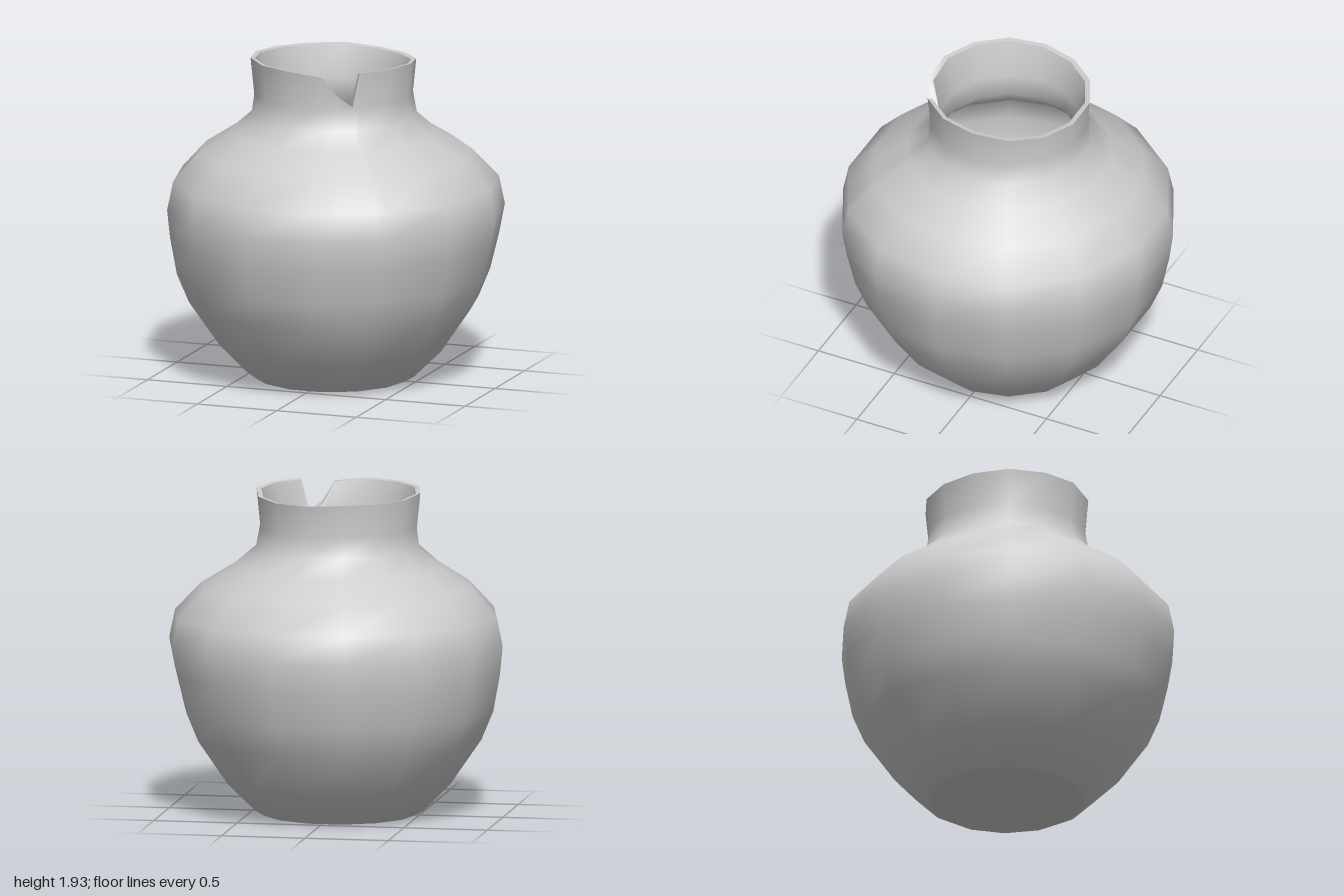
import * as THREE from 'three';
import { toCreasedNormals } from 'three/addons/utils/BufferGeometryUtils.js';

const SIDES = 14;

// Outer wall from foot to neck: radius, height, sideways drift of the ring centre
const OUTER = [
  [0.46, 0, -0.02], [0.51, 0.03, -0.02], [0.675, 0.195, -0.015], [0.857, 0.46, -0.015],
  [0.928, 0.63, -0.015], [0.975, 0.85, -0.008], [1.0, 1.02, 0], [0.965, 1.19, 0],
  [0.81, 1.355, -0.005], [0.612, 1.48, -0.01], [0.49, 1.585, -0.012], [0.47, 1.71, -0.015],
];
// Inner wall from neck down to the middle of the bowl
const INNER = [
  [0.41, 1.71, -0.015], [0.41, 1.58, -0.012], [0.55, 1.43, -0.01], [0.75, 1.3, -0.005],
  [0.9, 1.16, 0], [0.93, 1.02, 0], [0.905, 0.85, -0.008], [0.86, 0.64, -0.015],
  [0.78, 0.47, -0.015], [0.6, 0.23, -0.015], [0.4, 0.09, -0.02], [0, 0.06, -0.02],
];

// Rim height at each corner (corner 0 is just right of front centre, then round the +x side)
const RIM = [1.907, 1.93, 1.93, 1.925, 1.905, 1.895, 1.895, 1.905, 1.905, 1.91, 1.92, 1.93, 1.93, 1.93];
// Extra columns that carve the chip out of the first panel
const CHIP = [[0.38, 1.79], [0.84, 1.722]];
const COLUMNS = [[0, RIM[0]], ...CHIP, ...RIM.slice(1).map((y, i) => [i + 1, y])];

// Point on a ring; fractional columns stay on the flat panel between two corners
function ringPoint(u, radius, y, drift) {
  const corner = (k) => {
    const a = ((k + 0.5) / SIDES) * Math.PI * 2;
    return new THREE.Vector3(Math.sin(a) * radius + drift, y, Math.cos(a) * radius);
  };
  const k = Math.floor(u);
  return corner(k).lerp(corner(k + 1), u - k);
}

// One vertical run of the wall: up the outside, across the lip, down the inside
function column([u, top]) {
  const t = (top - 1.71) / 0.22;
  const lip = [
    [THREE.MathUtils.lerp(0.47, 0.492, t), top, -0.015],
    [THREE.MathUtils.lerp(0.41, 0.465, t), top - 0.004, -0.015],
  ];
  return [...OUTER, ...lip, ...INNER].map(([r, y, drift]) => ringPoint(u, r, y, drift));
}

function buildWall() {
  const runs = COLUMNS.map(column);
  const positions = [];
  const triangle = (a, b, c) => {
    const area = b.clone().sub(a).cross(c.clone().sub(a)).length();
    if (area > 1e-7) [a, b, c].forEach((p) => positions.push(p.x, p.y, p.z));
  };
  runs.forEach((left, i) => {
    const right = runs[(i + 1) % runs.length];
    for (let j = 0; j < left.length - 1; j++) {
      triangle(left[j], right[j], right[j + 1]);
      triangle(left[j], right[j + 1], left[j + 1]);
    }
  });
  const geometry = new THREE.BufferGeometry();
  geometry.setAttribute('position', new THREE.Float32BufferAttribute(positions, 3));
  return toCreasedNormals(geometry, 1.0);
}

export function createModel() {
  const material = new THREE.MeshStandardMaterial({ color: 0xcccccc });
  const pot = new THREE.Group();
  pot.name = 'chippedPot';

  // Body, neck, chipped lip and hollow inside
  const wall = new THREE.Mesh(buildWall(), material);
  wall.name = 'potWall';
  pot.add(wall);

  // Flat foot, facing down
  const [footRadius, , footDrift] = OUTER[0];
  const foot = new THREE.Mesh(
    new THREE.CircleGeometry(footRadius, SIDES), material);
  foot.name = 'potFoot';
  foot.rotation.x = Math.PI / 2;
  foot.position.x = footDrift;
  pot.add(foot);

  return pot;
}
